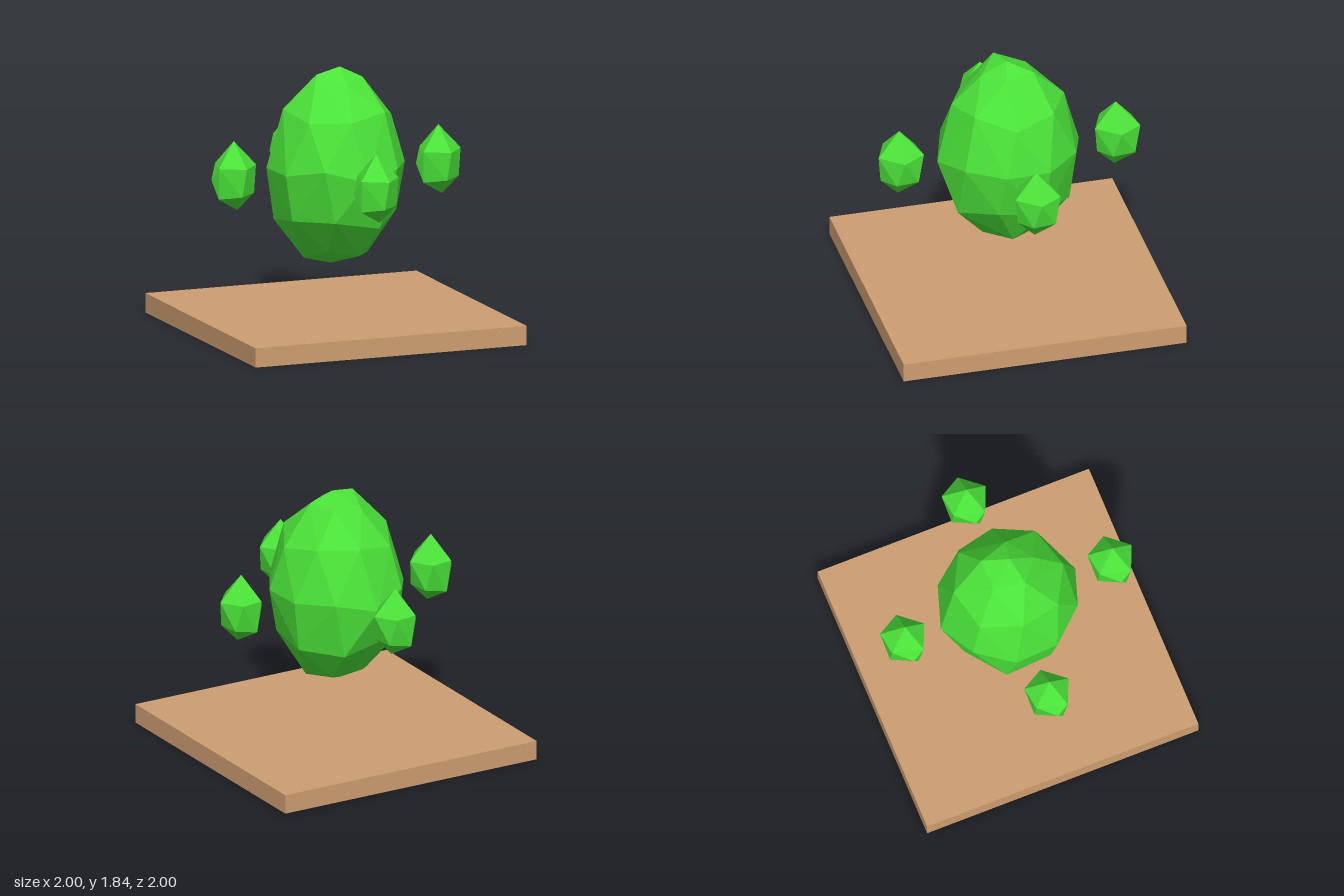
import * as THREE from 'three';
import { ConvexGeometry } from 'three/addons/geometries/ConvexGeometry.js';

const vec = (p) => new THREE.Vector3(...p);

// Faceted egg: staggered, slightly uneven rings closed by a convex hull
function eggGeometry() {
  const points = [vec([0.02, 1.835, 0.02]), vec([-0.04, 0.465, 0])];
  // y, x radius, z radius, sides, start angle
  const rings = [
    [1.76, 0.18, 0.19, 5, 0.3],
    [1.52, 0.385, 0.39, 8, 0.1],
    [1.15, 0.475, 0.5, 10, 0.25],
    [0.80, 0.42, 0.42, 8, 0.4],
    [0.55, 0.225, 0.225, 6, 0.1],
  ];
  rings.forEach(([y, rx, rz, sides, start], r) => {
    for (let i = 0; i < sides; i++) {
      const a = start + (i / sides) * Math.PI * 2;
      const wobble = Math.sin(i * 2.4 + r * 1.7);
      const k = 1 + 0.02 * wobble;
      points.push(vec([Math.cos(a) * rx * k, y - 0.04 * wobble, Math.sin(a) * rz * k]));
    }
  });
  return new ConvexGeometry(points);
}

// Small crystal: pointed five-sided cap over a tapering body
function crystalGeometry() {
  return new ConvexGeometry([
    [0, 1.37, 0], // tip
    [-0.085, 1.2, -0.13], [0.075, 1.2, -0.155], [0.165, 1.195, 0],
    [0.035, 1.195, 0.155], [-0.14, 1.2, 0.08], // shoulder
    [-0.165, 1.11, 0], [-0.13, 0.98, 0.05], [0.01, 1.0, 0.135],
    [0.13, 1.01, 0.05], [0.11, 1.01, -0.11], [-0.05, 0.98, -0.13], // lower ring
    [0.02, 0.89, 0.015], // base point
  ].map(vec));
}

export function createModel() {
  const model = new THREE.Group();
  model.name = 'floatingCrystals';

  const green = new THREE.MeshStandardMaterial({ color: 0x4be339 });
  green.name = 'green';
  const brown = new THREE.MeshStandardMaterial({ color: 0xce9e71 });
  brown.name = 'brown';

  const add = (name, geometry, material, x = 0, y = 0, z = 0) => {
    const mesh = new THREE.Mesh(geometry, material);
    mesh.name = name;
    mesh.position.set(x, y, z);
    model.add(mesh);
  };

  // Ground slab
  add('base', new THREE.BoxGeometry(2, 0.135, 2), brown, 0, 0.0675, 0);

  // Large central gem
  add('centralGem', eggGeometry(), green);

  // Four crystals around it
  const crystal = crystalGeometry();
  add('leftCrystal', crystal, green, 0.755, 0, 0);
  add('rightCrystal', crystal, green, -0.755, 0, 0);
  add('frontCrystal', crystal, green, -0.015, 0, 0.765);
  add('backCrystal', crystal, green, -0.015, 0, -0.765);

  return model;
}
